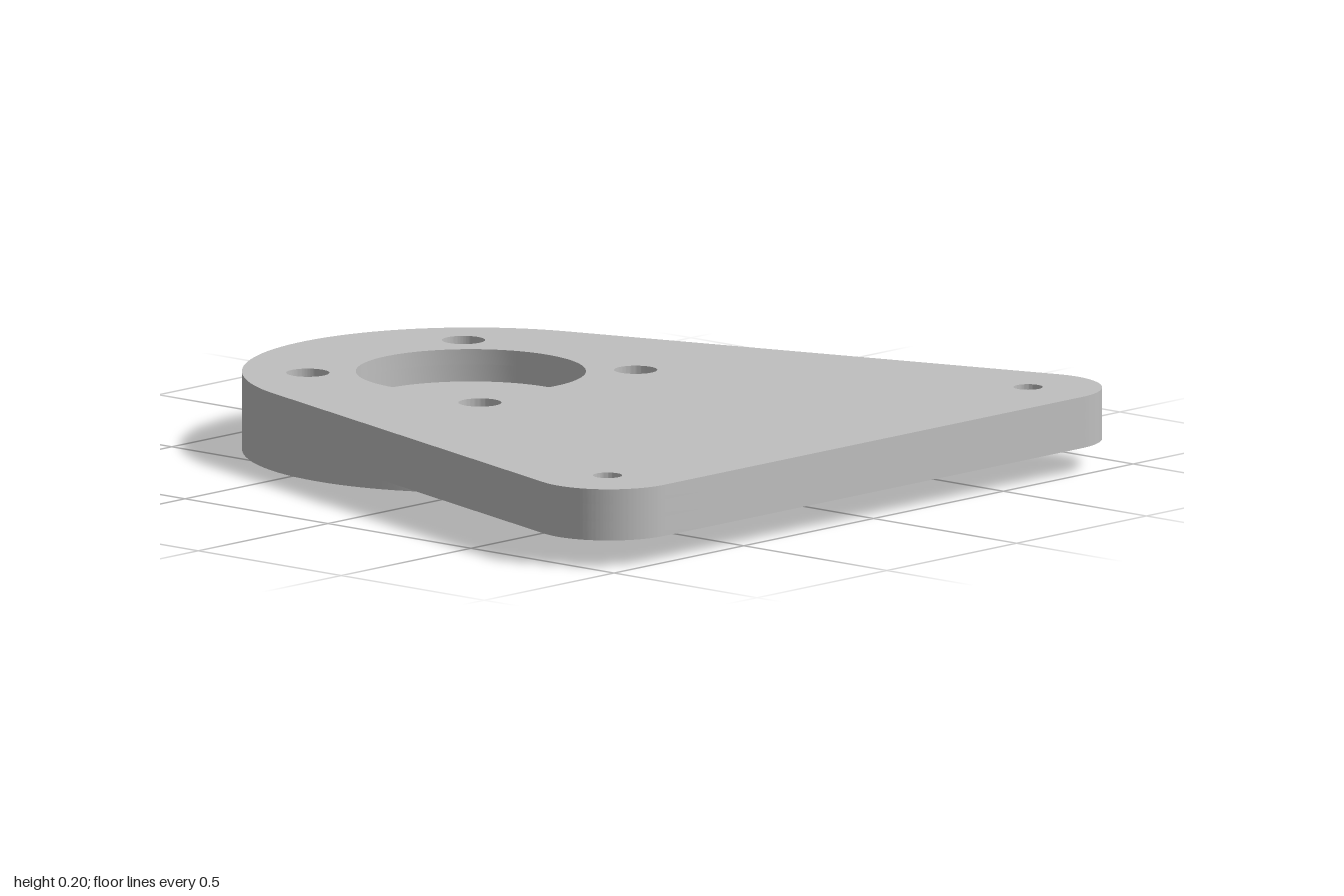
import * as THREE from 'three';
import { toCreasedNormals } from 'three/addons/utils/BufferGeometryUtils.js';

// Shapes are drawn in (x, z) and extruded downward from a top height.
const HEAD = { z: -0.405, r: 0.595 };
const FOOT = { x: 0.805, z: 0.805, r: 0.195 };
const Y = { base: 0.07, pocketFloor: 0.12, step: 0.165, top: 0.205 };

function circle(x, z, r) {
  return new THREE.Path().absarc(x, z, r, 0, Math.PI * 2, false);
}

// Rounded triangular outline: one big arc and two corner arcs joined by tangents.
function plateOutline() {
  const dx = FOOT.x, dz = FOOT.z - HEAD.z;
  const t = Math.atan2(dz, dx) - Math.acos((HEAD.r - FOOT.r) / Math.hypot(dx, dz));
  const s = new THREE.Shape();
  s.absarc(0, HEAD.z, HEAD.r, Math.PI - t, Math.PI * 2 + t, false);
  s.absarc(FOOT.x, FOOT.z, FOOT.r, t, Math.PI / 2, false);
  s.absarc(-FOOT.x, FOOT.z, FOOT.r, Math.PI / 2, Math.PI - t, false);
  s.closePath();
  return s;
}

export function createModel() {
  const group = new THREE.Group();
  const grey = new THREE.MeshStandardMaterial({ color: 0xbfbfbf });
  grey.name = 'grey metal';

  function slab(name, shape, bottom, top) {
    const raw = new THREE.ExtrudeGeometry(shape, { depth: top - bottom, bevelEnabled: false, curveSegments: 48 });
    raw.rotateX(Math.PI / 2).translate(0, top, 0);
    const mesh = new THREE.Mesh(toCreasedNormals(raw, 0.5), grey);
    mesh.name = name;
    group.add(mesh);
  }

  function plateLayer(name, bottom, top, cornerRadius, hasPocket) {
    const s = plateOutline();
    for (const side of [-1, 1]) {
      s.holes.push(circle(side * 0.81, 0.805, cornerRadius));
      for (const end of [-1, 1]) s.holes.push(circle(side * 0.3, HEAD.z + end * 0.301, 0.056));
    }
    if (hasPocket) s.holes.push(circle(0, HEAD.z - 0.003, 0.298));
    slab(name, s, bottom, top);
  }

  // Plate: closed floor, pocket with counterbored corners, then narrow corner holes
  plateLayer('plateFloor', Y.base, Y.pocketFloor, 0.064, false);
  plateLayer('plateMiddle', Y.pocketFloor, Y.step, 0.064, true);
  plateLayer('plateTop', Y.step, Y.top, 0.038, true);

  // Raised rim under the head
  const ring = new THREE.Shape();
  ring.absarc(0, HEAD.z, HEAD.r, 0, Math.PI * 2, false);
  ring.holes.push(circle(0, HEAD.z, 0.538));
  slab('undersideRim', ring, 0, Y.base);

  return group;
}
